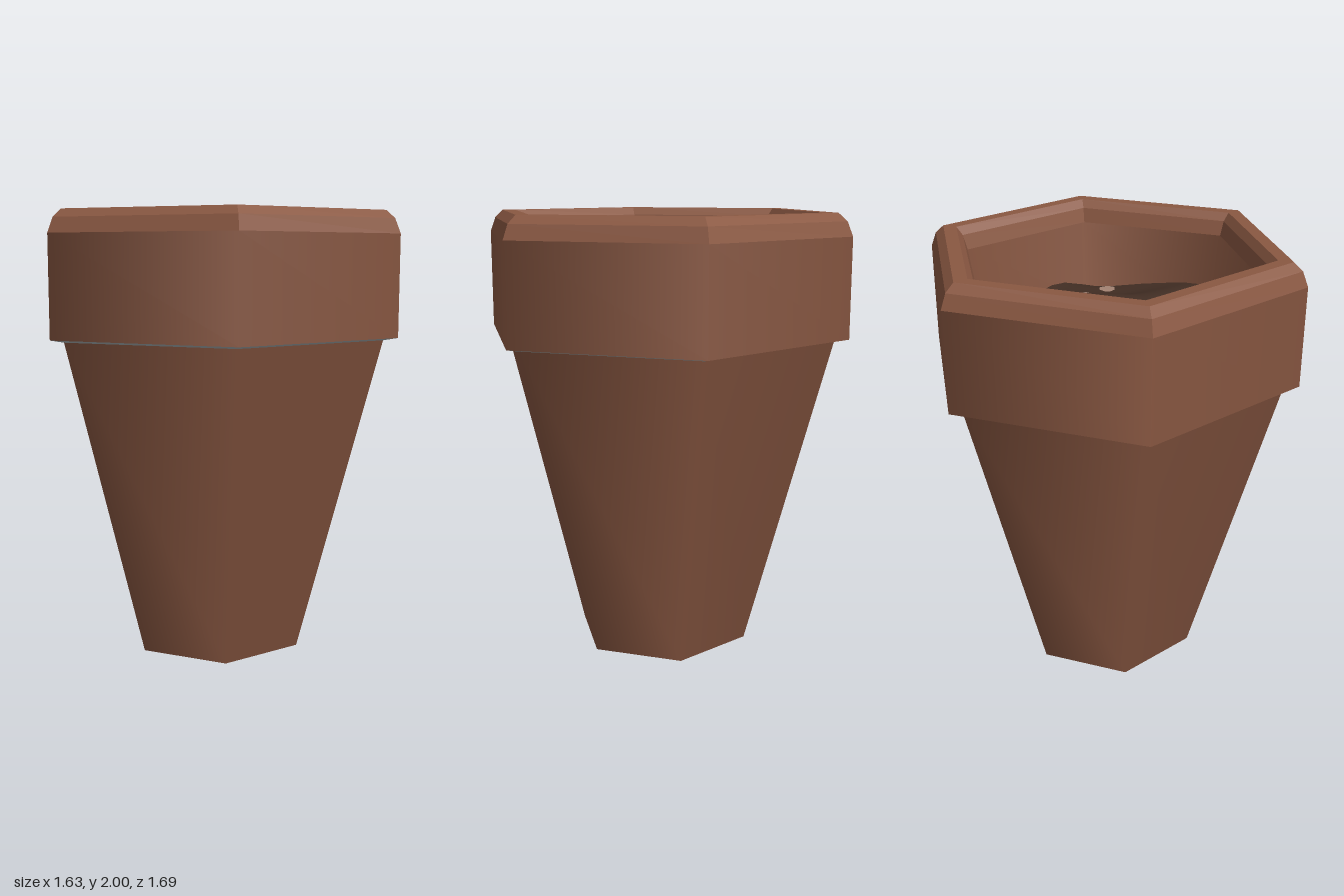
import * as THREE from 'three';

const START = -0.199; // angle of the first hexagon corner
const mat = (name, color, side = THREE.FrontSide) => {
  const m = new THREE.MeshStandardMaterial({ color, side });
  m.name = name;
  return m;
};

// gentle lumps of the soil surface
const soilHeight = (x, z) =>
  1.63 + 0.022 * Math.sin(9 * x + 2 * z) + 0.018 * Math.sin(11 * z - 4 * x + 1) + 0.01 * Math.sin(19 * x + 17 * z);

// lift every vertex of a flat geometry onto the soil
function drape(geo, lift) {
  const p = geo.attributes.position;
  for (let i = 0; i < p.count; i++) p.setY(i, soilHeight(p.getX(i), p.getZ(i)) + lift);
  geo.computeVertexNormals();
  return geo;
}

export function createModel() {
  const clay = mat('terracotta', 0x8a5842);
  const grey = mat('pale grey', 0xb2babc);
  const earth = mat('dark soil', 0x412d23);
  const stone = mat('pebble', 0xa38272);
  const pot = new THREE.Group();
  pot.name = 'plantPot';

  const add = (name, geo, material) => {
    const mesh = new THREE.Mesh(geo, material);
    mesh.name = name;
    pot.add(mesh);
    return mesh;
  };

  // six-sided band swept from a [radius, height] profile
  const band = (name, profile, material, flat = false) => {
    let geo = new THREE.LatheGeometry(profile.map(([r, y]) => new THREE.Vector2(r, y)), 6, START);
    if (flat) {
      geo = geo.toNonIndexed();
      geo.computeVertexNormals();
    }
    return add(name, geo, material);
  };

  // tapered body with a recessed base
  band('body', [[0.41, 0], [0.795, 1.445]], clay);
  band('baseRecessWall', [[0.34, 0.28], [0.41, 0]], clay);
  band('baseRecessCap', [[0, 0.28], [0.34, 0.28]], grey, true);

  // thick rim with bevelled top edges
  band('rimUnderside', [[0.795, 1.443], [0.861, 1.455]], grey, true);
  band('rimWall', [[0.861, 1.455], [0.861, 1.9]], clay);
  band('rimOuterBevel', [[0.861, 1.9], [0.835, 1.965], [0.795, 2]], clay, true);
  band('rimTop', [[0.795, 2], [0.73, 2]], clay, true);
  band('rimInnerBevel', [[0.73, 2], [0.7, 1.965], [0.68, 1.9]], clay, true);
  band('innerWall', [[0.68, 1.9], [0.635, 1.52]], clay);

  // hexagonal soil: a disc whose rings are squeezed to six sides
  const soil = new THREE.RingGeometry(0.001, 0.648, 48, 12).rotateX(-Math.PI / 2);
  const p = soil.attributes.position;
  const sector = Math.PI / 3;
  for (let i = 0; i < p.count; i++) {
    const x = p.getX(i), z = p.getZ(i);
    const a = THREE.MathUtils.euclideanModulo(Math.atan2(x, z) - START, sector) - sector / 2;
    const k = Math.cos(sector / 2) / Math.cos(a);
    p.setXYZ(i, x * k, 0, z * k);
  }
  add('soil', drape(soil, 0), earth);

  // pebbles: small patches lying on the soil [x, z, width]
  const pebbles = [
    [-0.09, -0.42, 1], [-0.4, -0.16, 1], [-0.08, -0.035, 1], [0.13, -0.08, 1], [0.34, -0.12, 1],
    [0.42, -0.18, 1], [-0.3, 0.08, 1], [0.505, 0.05, 0.8], [0.295, 0.175, 1], [0.005, 0.28, 1],
    [-0.085, 0.42, 1], [0.33, 0.4, 1], [-0.31, 0.385, 1.8], [0.25, -0.5, 0.7],
  ];
  for (const [x, z, w] of pebbles) {
    const geo = new THREE.CircleGeometry(0.04, 8, Math.PI / 8).rotateX(-Math.PI / 2);
    geo.scale(0.95 * w, 1, 1.05).translate(x, 0, z);
    add('pebble', drape(geo, 0.006), stone);
  }
  return pot;
}
